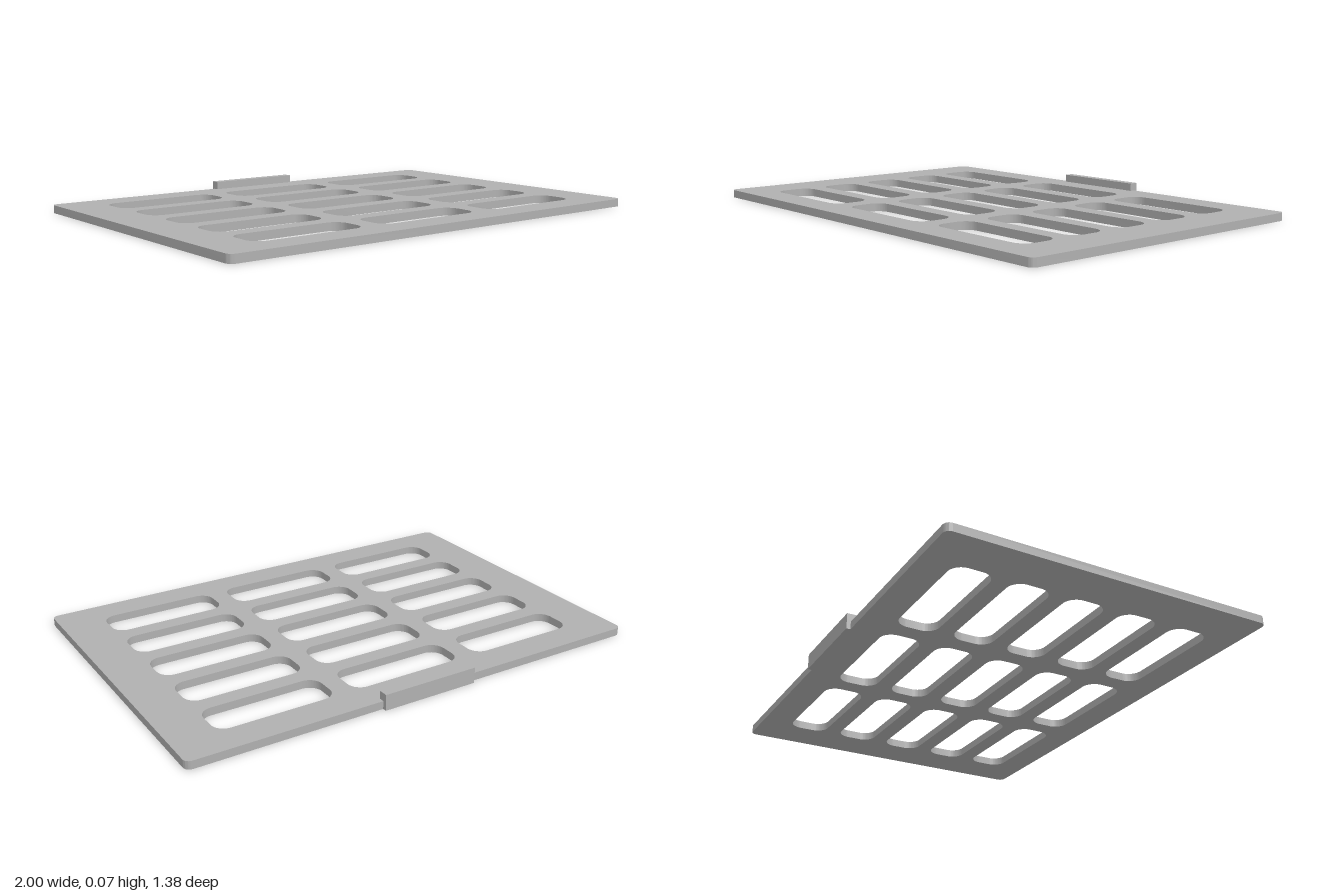
import * as THREE from 'three';
import { toCreasedNormals } from 'three/addons/utils/BufferGeometryUtils.js';

// Traces a rounded rectangle centred on (cx, cy)
function roundedRect(path, cx, cy, w, h, r) {
  const x = w / 2 - r, y = h / 2 - r, q = Math.PI / 2;
  path.moveTo(cx + x + r, cy - y);
  [[x, y], [-x, y], [-x, -y], [x, -y]].forEach(([dx, dy], i) => {
    path.absarc(cx + dx, cy + dy, r, i * q, (i + 1) * q, false);
  });
  path.closePath();
  return path;
}

export function createModel() {
  const group = new THREE.Group();
  group.name = 'ventCover';
  const grey = new THREE.MeshStandardMaterial({ color: 0xb0b0b0 });
  grey.name = 'grey';

  const thickness = 0.033, centreZ = 0.008;

  // Flat plate with a 3 x 5 grid of rounded slots
  const outline = roundedRect(new THREE.Shape(), 0, centreZ, 2, 1.361, 0.026);
  for (let col = -1; col <= 1; col++) {
    for (let row = -2; row <= 2; row++) {
      outline.holes.push(
        roundedRect(new THREE.Path(), col * 0.574, centreZ + row * 0.236, 0.494, 0.166, 0.055));
    }
  }
  const plateGeometry = new THREE.ExtrudeGeometry(outline, {
    depth: thickness, bevelEnabled: false, curveSegments: 8,
  });
  plateGeometry.rotateX(Math.PI / 2).translate(0, thickness, 0);
  const plate = new THREE.Mesh(toCreasedNormals(plateGeometry, 0.5), grey);
  plate.name = 'slottedPlate';
  group.add(plate);

  // Upright latch tab on the back edge
  const tab = new THREE.Mesh(new THREE.BoxGeometry(0.412, 0.066, 0.038), grey);
  tab.name = 'latchTab';
  tab.position.set(0, 0.033, -0.67);
  group.add(tab);

  return group;
}
